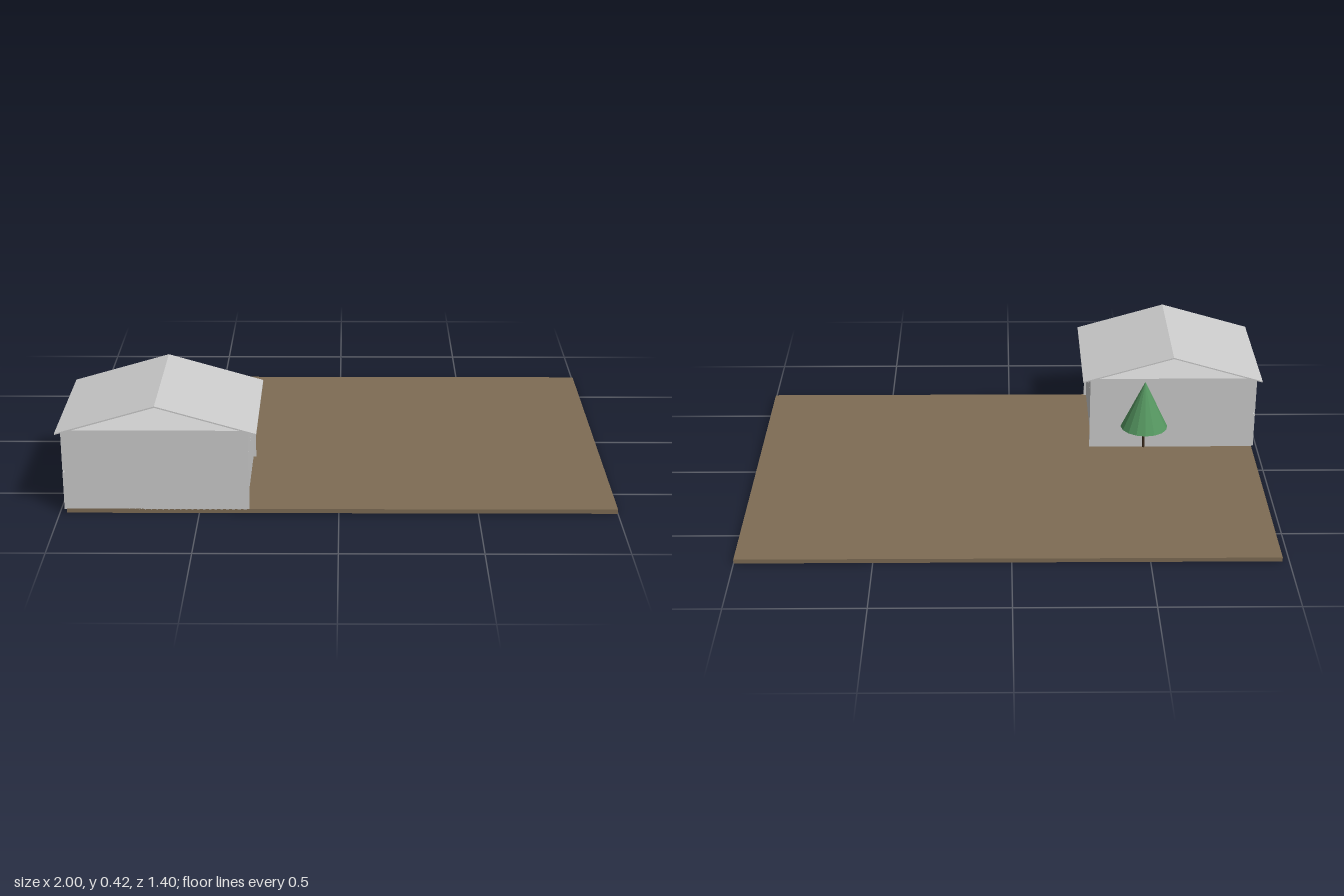
import * as THREE from 'three';

const plaster = new THREE.MeshStandardMaterial({ name: 'light grey plaster', color: 0xcccccc });
const soil = new THREE.MeshStandardMaterial({ name: 'brown soil', color: 0x7e6c54 });
const leaf = new THREE.MeshStandardMaterial({ name: 'green foliage', color: 0x559660 });
leaf.flatShading = true;
const bark = new THREE.MeshStandardMaterial({ name: 'dark bark', color: 0x3c2c1e });

// Box given by its min and max corners
function slab(name, material, [x0, y0, z0], [x1, y1, z1]) {
  const mesh = new THREE.Mesh(new THREE.BoxGeometry(x1 - x0, y1 - y0, z1 - z0), material);
  mesh.position.set((x0 + x1) / 2, (y0 + y1) / 2, (z0 + z1) / 2);
  mesh.name = name;
  return mesh;
}

function createHouse() {
  const house = new THREE.Group();
  house.name = 'house';
  const left = -0.975, right = -0.32, back = 0.178, front = 0.67;

  // Full height end walls
  house.add(slab('frontWall', plaster, [left, 0.014, front - 0.006], [right, 0.318, front]));
  house.add(slab('backWall', plaster, [left, 0.014, back], [right, 0.318, back + 0.008]));

  // Side wall panels, one pair per storey
  for (const [y0, y1] of [[0.012, 0.154], [0.162, 0.309]]) {
    house.add(slab('rightPanel', plaster, [right - 0.018, y0, 0.19], [right - 0.01, y1, 0.664]));
    house.add(slab('leftPanel', plaster, [left - 0.009, y0, 0.19], [left - 0.001, y1, 0.664]));
  }

  // Upper floor and ceiling
  for (const [name, y] of [['upperFloor', 0.153], ['ceiling', 0.31]]) {
    house.add(slab(name, plaster, [left, y, back + 0.008], [right - 0.01, y + 0.008, front - 0.006]));
  }

  // Thin gable roof with open ends
  const ridge = -0.645, eave = 0.312, top = 0.42, t = 0.005;
  const profile = new THREE.Shape([
    [-1, eave], [ridge, top - t], [-0.29, eave],
    [-0.29, eave + t], [ridge, top], [-1, eave + t],
  ].map(([x, y]) => new THREE.Vector2(x, y)));
  const roof = new THREE.Mesh(
    new THREE.ExtrudeGeometry(profile, { depth: 0.546, bevelEnabled: false }), plaster);
  roof.position.z = 0.152;
  roof.name = 'roof';
  house.add(roof);
  return house;
}

function createTree() {
  const tree = new THREE.Group();
  tree.name = 'tree';
  tree.position.set(-0.538, 0.016, 0.176);

  const crown = new THREE.Mesh(new THREE.ConeGeometry(0.094, 0.195, 16), leaf);
  crown.position.y = 0.094 + 0.0975;
  crown.name = 'crown';

  const trunk = new THREE.Mesh(new THREE.CylinderGeometry(0.005, 0.005, 0.1, 8), bark);
  trunk.position.y = 0.048;
  trunk.name = 'trunk';

  tree.add(crown, trunk);
  return tree;
}

export function createModel() {
  const model = new THREE.Group();
  model.name = 'houseOnPlot';
  model.add(slab('ground', soil, [-0.975, 0, -0.698], [1, 0.016, 0.67]));
  model.add(createHouse(), createTree());
  return model;
}
